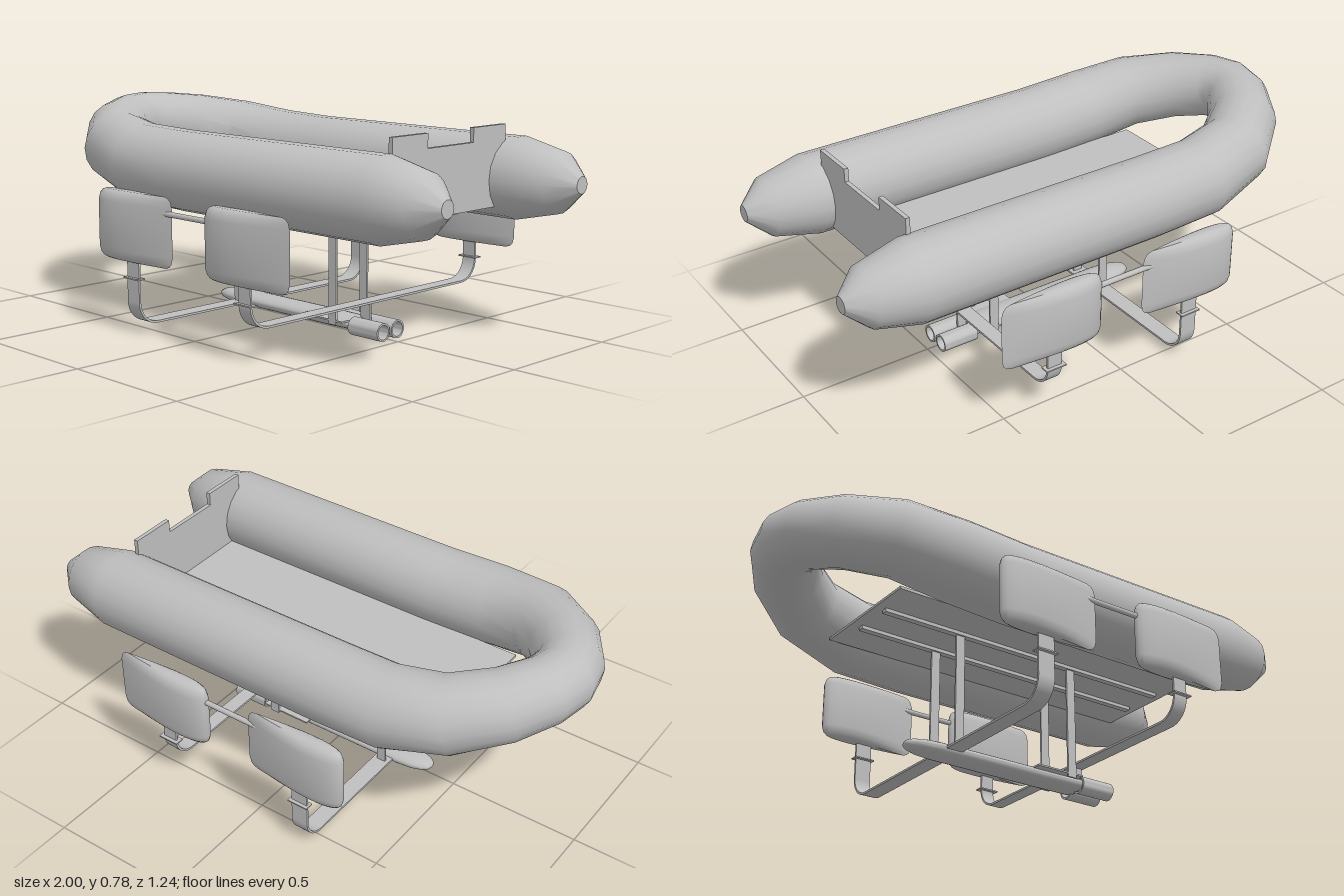
import * as THREE from 'three';
import { toCreasedNormals } from 'three/addons/utils/BufferGeometryUtils.js';

const V = (x, y, z) => new THREE.Vector3(x, y, z);
const grey = new THREE.MeshStandardMaterial({ color: 0xbfbfbf });
grey.name = 'grey';

// Skin a list of closed rings (counter-clockwise about the travel direction) and cap both ends
function loft(rings, crease = 0.6) {
  const n = rings[0].length, pos = [], idx = [];
  rings.forEach(r => r.forEach(p => pos.push(p.x, p.y, p.z)));
  for (let i = 0; i < rings.length - 1; i++) {
    for (let j = 0; j < n; j++) {
      const a = i * n + j, b = i * n + (j + 1) % n;
      idx.push(a, b, b + n, a, b + n, a + n);
    }
  }
  [0, rings.length - 1].forEach((r, end) => {
    const c = V(0, 0, 0);
    rings[r].forEach(p => c.addScaledVector(p, 1 / n));
    const ci = pos.length / 3;
    pos.push(c.x, c.y, c.z);
    for (let j = 0; j < n; j++) {
      const a = r * n + j, b = r * n + (j + 1) % n;
      if (end) idx.push(ci, a, b); else idx.push(ci, b, a);
    }
  });
  const g = new THREE.BufferGeometry();
  g.setAttribute('position', new THREE.Float32BufferAttribute(pos, 3));
  g.setIndex(idx);
  return toCreasedNormals(g, crease);
}

const ring = (n, fn) => Array.from({ length: n }, (_, j) => fn(j / n * Math.PI * 2));

// Inflated U-shaped collar: half path of [x, y, z, radius] from stern tip to bow, then mirrored
function collarGeometry() {
  const half = [
    [1, 0.57, 0.35, 0.03], [0.915, 0.57, 0.35, 0.108], [0.75, 0.57, 0.35, 0.146],
    [-0.2, 0.57, 0.35, 0.146], [-0.44, 0.579, 0.353, 0.145], [-0.645, 0.615, 0.312, 0.136],
    [-0.785, 0.647, 0.2, 0.127], [-0.865, 0.667, 0.08, 0.119],
  ];
  const path = [...half, [-0.882, 0.671, 0, 0.118],
    ...half.slice().reverse().map(([x, y, z, r]) => [x, y, -z, r])];
  const last = path.length - 1;
  return loft(path.map(([x, y, z, r], i) => {
    const a = path[Math.max(i - 1, 0)], b = path[Math.min(i + 1, last)];
    const t = V(b[0] - a[0], b[1] - a[1], b[2] - a[2]).normalize();
    const s = V(0, 1, 0).cross(t).normalize();
    const u = t.clone().cross(s);
    return ring(18, q => V(x, y, z)
      .addScaledVector(s, r * Math.cos(q)).addScaledVector(u, r * Math.sin(q)));
  }));
}

// Teardrop-section float with softened top and bottom
function floatGeometry() {
  const chord = 0.395, h = 0.125;
  const end = [[0, 0.035, 0.4], [0.006, 0.018, 0.62], [0.017, 0.007, 0.85], [0.04, 0, 1]];
  const layers = [...end.map(([d, i, t]) => [-h + d, i, t]),
    ...end.slice().reverse().map(([d, i, t]) => [h - d, i, t])];
  return loft(layers.map(([y, inset, t]) => ring(32, q => {
    const k = (1 + Math.sin(q)) / 2;
    const thick = 0.21 * 2.5 * chord * 2 * (0.2969 * Math.sqrt(k) - 0.126 * k
      - 0.3516 * k * k + 0.2843 * k ** 3 - 0.1036 * k ** 4);
    return V((k - 0.5) * (chord - 2 * inset), y, Math.sign(Math.cos(q)) * thick * t);
  })), 0.7);
}

// U-shaped strip across the beam: vertical legs, round bends and a flat middle
function foilGeometry(bottom, width) {
  const z = 0.578, top = 0.29, r = 0.08, t = 0.004;
  const s = new THREE.Shape();
  s.moveTo(-z - t, top);
  s.lineTo(-z - t, bottom + r);
  s.absarc(-z + r, bottom + r, r + t, Math.PI, Math.PI * 1.5, false);
  s.absarc(z - r, bottom + r, r + t, Math.PI * 1.5, Math.PI * 2, false);
  s.lineTo(z + t, top);
  s.lineTo(z - t, top);
  s.absarc(z - r, bottom + r, r - t, Math.PI * 2, Math.PI * 1.5, true);
  s.absarc(-z + r, bottom + r, r - t, Math.PI * 1.5, Math.PI, true);
  s.lineTo(-z + t, top);
  return extrudeX(s, width);
}

// Extrude a (z, y) shape along x, centred
function extrudeX(shape, depth) {
  return new THREE.ExtrudeGeometry(shape, { depth, bevelEnabled: false, curveSegments: 14 })
    .translate(0, 0, -depth / 2).rotateY(Math.PI / 2);
}

export function createModel() {
  const model = new THREE.Group();
  model.name = 'hydrofoilInflatableBoat';
  const add = (name, geo, x = 0, y = 0, z = 0) => {
    const m = new THREE.Mesh(geo, grey);
    m.name = name;
    m.position.set(x, y, z);
    model.add(m);
    return m;
  };
  // Box given by its limits on each axis
  const box = (name, x0, x1, y0, y1, z0, z1) =>
    add(name, new THREE.BoxGeometry(x1 - x0, y1 - y0, z1 - z0),
      (x0 + x1) / 2, (y0 + y1) / 2, (z0 + z1) / 2);

  // Hull
  add('inflatableCollar', collarGeometry());
  box('floor', -0.585, 0.71, 0.478, 0.488, -0.24, 0.24);
  const transom = new THREE.Shape([[-0.29, 0.76], [-0.29, 0.55], [-0.235, 0.478], [0.235, 0.478],
    [0.29, 0.55], [0.29, 0.76], [0.117, 0.76], [0.117, 0.71], [-0.117, 0.71], [-0.117, 0.76]]
    .map(([x, y]) => new THREE.Vector2(x, y)));
  add('transom', extrudeX(transom, 0.016), 0.714);

  // Cross-beam foils, one low at the front and one higher at the rear
  add('frontFoil', foilGeometry(0.04, 0.065), -0.233);
  add('rearFoil', foilGeometry(0.122, 0.056), 0.347);
  box('rearFoilPost', 0.325, 0.37, 0.05, 0.122, -0.004, 0.004);

  for (const side of [1, -1]) {
    // Floor rails and the struts that carry the drive body
    box('floorRail', -0.55, 0.68, 0.465, 0.479, side * 0.08 - 0.012, side * 0.08 + 0.012);
    for (const x of [-0.233, 0.262]) {
      box('strut', x - 0.018, x + 0.018, 0.038, 0.47, side * 0.08 - 0.004, side * 0.08 + 0.004);
    }

    // Outrigger floats, collars and link rod
    const z = side * 0.578;
    for (const [x, cx] of [[-0.217, -0.233], [0.357, 0.347]]) {
      add('sideFloat', floatGeometry(), x, 0.39, z);
      box('foilCollar', cx - 0.04, cx + 0.04, 0.203, 0.208, z - 0.017, z + 0.017);
    }
    add('floatLink', new THREE.CylinderGeometry(0.01, 0.01, 0.27, 12).rotateZ(Math.PI / 2),
      0.07, 0.457, z);

    // Hollow jet nozzles with a hub
    const nozzle = new THREE.Shape().absarc(0, 0, 0.033, 0, Math.PI * 2);
    nozzle.holes.push(new THREE.Path().absarc(0, 0, 0.026, 0, Math.PI * 2));
    add('jetNozzle', toCreasedNormals(extrudeX(nozzle, 0.14), 0.6), 0.395, 0.037, side * 0.037);
    add('nozzleHub', new THREE.CylinderGeometry(0.012, 0.012, 0.1, 12).rotateZ(Math.PI / 2),
      0.37, 0.037, side * 0.037);
  }

  // Flattened drive body with a rounded nose: [x, half height, half width]
  const stations = [[-0.405, 0.004, 0.008], [-0.398, 0.012, 0.022], [-0.38, 0.019, 0.035],
    [-0.34, 0.025, 0.048], [-0.28, 0.027, 0.055], [0.2, 0.027, 0.058], [0.335, 0.024, 0.06]];
  add('driveBody', loft(stations.map(([x, h, w]) =>
    ring(24, q => V(x, 0.04 + h * Math.cos(q), w * Math.sin(q))))));
  box('mountPlate', 0.11, 0.31, 0.05, 0.056, -0.084, 0.084);

  return model;
}
